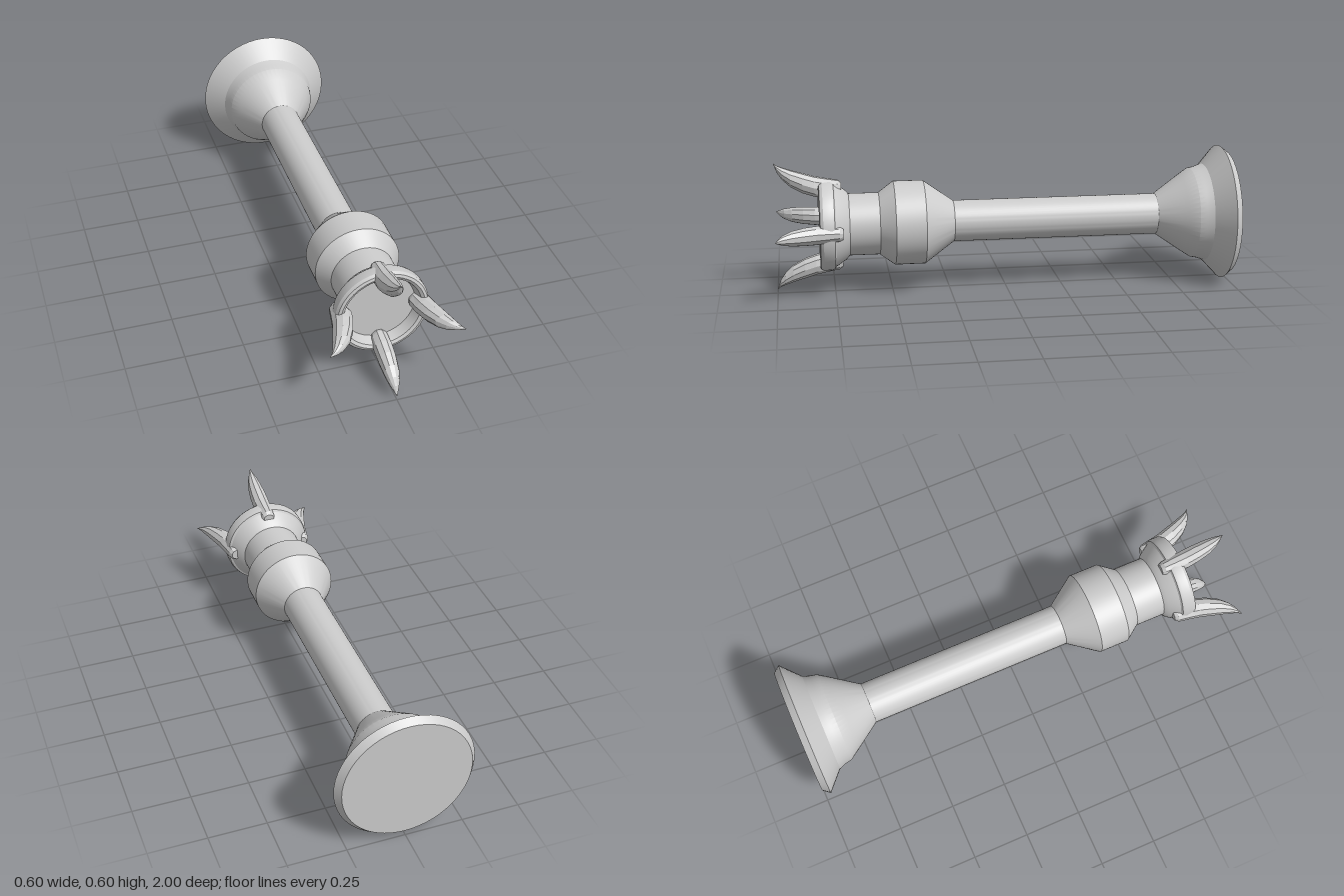
import * as THREE from 'three';
import { toCreasedNormals } from 'three/addons/utils/BufferGeometryUtils.js';

export function createModel() {
  const model = new THREE.Group();
  model.name = 'clawedStaff';
  const grey = new THREE.MeshStandardMaterial({ color: 0xcccccc });
  grey.name = 'plain grey';
  const clawGrey = grey.clone();
  clawGrey.name = 'plain grey faceted';
  clawGrey.flatShading = true;

  // All turned parts share one axis along z; profile points are [radius, z]
  const axis = new THREE.Group();
  axis.name = 'staff';
  axis.position.y = 0.298;
  model.add(axis);

  function turned(name, profile) {
    const lathe = new THREE.LatheGeometry(profile.map(([r, z]) => new THREE.Vector2(r, z)), 56);
    lathe.rotateX(Math.PI / 2);
    const mesh = new THREE.Mesh(toCreasedNormals(lathe, 0.4), grey);
    mesh.name = name;
    axis.add(mesh);
  }

  turned('flaredFoot', [[0, -1], [0.275, -1], [0.298, -0.97], [0.217, -0.895],
    [0.206, -0.865], [0.2, -0.835], [0.17, -0.79], [0.09, -0.675]]);
  turned('shaft', [[0.09, -0.675], [0.09, 0.23]]);
  turned('knob', [[0.09, 0.23], [0.183, 0.36], [0.183, 0.49], [0.135, 0.555]]);
  turned('neck', [[0.135, 0.555], [0.135, 0.685]]);
  // Cup with a rounded lip and a shallow flat recess
  turned('cup', [[0.135, 0.685], [0.152, 0.7], [0.182, 0.745], [0.192, 0.75], [0.197, 0.765],
    [0.197, 0.798], [0.19, 0.811], [0.178, 0.815], [0.165, 0.808], [0.158, 0.79],
    [0.15, 0.765], [0, 0.765]]);

  // Claw cross-sections: [z, inner radius, outer radius, half width]
  const sections = [
    [0.715, 0.145, 0.188, 0.024], [0.73, 0.132, 0.2, 0.032], [0.78, 0.119, 0.209, 0.038],
    [0.83, 0.129, 0.219, 0.041], [0.88, 0.146, 0.234, 0.039], [0.93, 0.174, 0.249, 0.033],
    [0.965, 0.207, 0.261, 0.023], [0.985, 0.237, 0.269, 0.012], [1, 0.276, 0.28, 0.001],
  ];
  const sides = 10;
  const positions = [];
  const index = [];
  for (const [z, inner, outer, half] of sections) {
    for (let i = 0; i < sides; i++) {
      const a = (i / sides) * Math.PI * 2;
      positions.push(half * Math.cos(a), (inner + outer) / 2 + ((outer - inner) / 2) * Math.sin(a), z);
    }
  }
  for (let s = 0; s < sections.length - 1; s++) {
    for (let i = 0; i < sides; i++) {
      const a = s * sides + i;
      const b = s * sides + ((i + 1) % sides);
      index.push(a, b, b + sides, a, b + sides, a + sides);
    }
  }
  // Close the blunt root and the tip
  const last = (sections.length - 1) * sides;
  for (let i = 1; i < sides - 1; i++) {
    index.push(0, i + 1, i, last, last + i, last + i + 1);
  }
  const clawGeometry = new THREE.BufferGeometry();
  clawGeometry.setAttribute('position', new THREE.Float32BufferAttribute(positions, 3));
  clawGeometry.setIndex(index);
  clawGeometry.computeVertexNormals();

  ['topClaw', 'leftClaw', 'bottomClaw', 'rightClaw'].forEach((name, i) => {
    const claw = new THREE.Mesh(clawGeometry, clawGrey);
    claw.name = name;
    claw.rotation.z = -i * Math.PI / 2;
    axis.add(claw);
  });

  return model;
}
